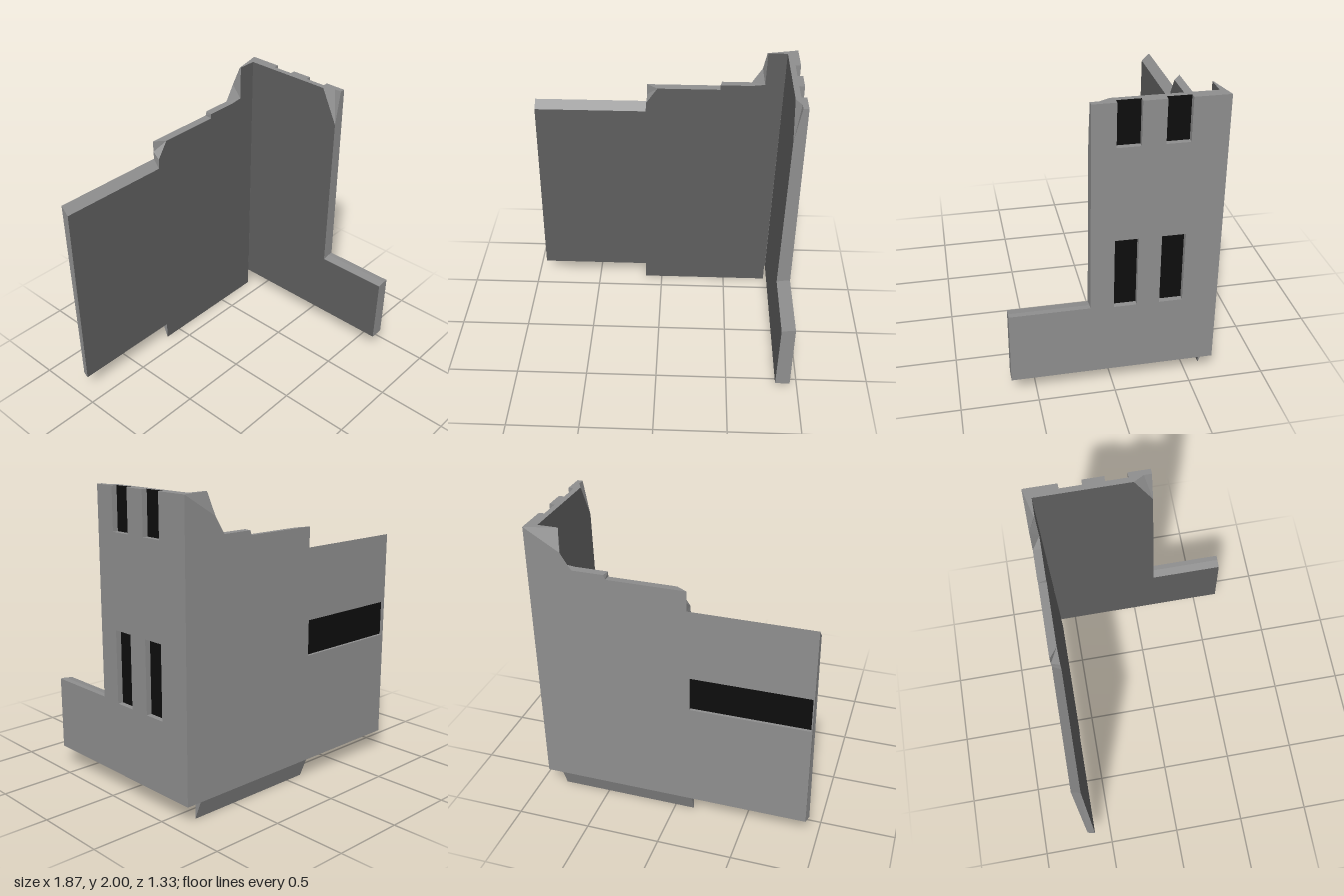
import * as THREE from 'three';

const material = (name, color) => Object.assign(new THREE.MeshStandardMaterial({ color }), { name });

// Wall points are [along, height, depth]; depth runs inward from the outer face.
const backPlace = ([x, y, d]) => [x, y, -0.668 + d];
const sidePlace = ([z, y, d]) => [0.932 - d, y, z];

const meshFrom = (name, positions, mat) => {
  const geometry = new THREE.BufferGeometry();
  geometry.setAttribute('position', new THREE.Float32BufferAttribute(positions, 3));
  geometry.computeVertexNormals();
  const mesh = new THREE.Mesh(geometry, mat);
  mesh.name = name;
  return mesh;
};

// Flat polygon with holes; faces outward unless inward is set.
function cap(name, ring, place, mat, holes = [], inward = false) {
  const flat = (r) => r.map(([a, y]) => new THREE.Vector2(-a, y));
  const all = [ring, ...holes].flat();
  const points = flat(all);
  const positions = [];
  for (const [a, b, c] of THREE.ShapeUtils.triangulateShape(flat(ring), holes.map(flat))) {
    const ccw = THREE.ShapeUtils.area([points[a], points[b], points[c]]) > 0;
    const order = ccw !== inward ? [a, b, c] : [a, c, b];
    order.forEach((i) => positions.push(...place(all[i])));
  }
  return meshFrom(name, positions, mat);
}

// Strip of quads joining an outer ring to an inner ring.
function sides(name, outer, inner, place, mat) {
  const positions = [];
  outer.forEach((p, i) => {
    const j = (i + 1) % outer.length;
    [p, inner[i], inner[j], p, inner[j], outer[j]].forEach((q) => positions.push(...place(q)));
  });
  return meshFrom(name, positions, mat);
}

const atDepth = (ring, d) => ring.map(([a, y]) => [a, y, d]);
// Rectangle from a0 (larger) to a1, counter-clockwise seen from outside.
const rect = (a0, a1, y0, y1, d = 0) => [[a0, y0, d], [a1, y0, d], [a1, y1, d], [a0, y1, d]];

// Sunken opening: reveal walls and a dark floor.
function pocket(name, ring, depth, place, wallMat, floorMat) {
  const hole = [...ring].reverse();
  return [
    sides(name + 'Reveal', hole, atDepth(hole, depth), place, wallMat),
    cap(name + 'Floor', atDepth(ring, depth), place, floorMat),
  ];
}

export function createModel() {
  const group = new THREE.Group();
  const stone = material('outer grey', 0x8e8e8e);
  const interior = material('inner dark grey', 0x5e5e5e);
  const black = material('opening black', 0x0d0d0d);

  // Back wall with a broken, stepped top
  const back = new THREE.Group();
  back.name = 'backWall';
  const backOuter = atDepth([
    [0.932, 0.13], [-0.92, 0.13], [-0.92, 1.585], [-0.11, 1.585], [-0.11, 1.64], [-0.11, 1.72],
    [0.41, 1.72], [0.42, 1.75], [0.63, 1.75], [0.7, 1.86],
  ], 0).concat([[0.72, 2, 0.05], [0.932, 2, 0]]);
  const backInner = atDepth([
    [0.83, 0.13], [-0.935, 0.13], [-0.922, 1.53], [-0.12, 1.53], [-0.115, 1.6], [-0.035, 1.715],
    [0.41, 1.715], [0.41, 1.75], [0.63, 1.75], [0.72, 1.76], [0.725, 2], [0.857, 2],
  ], 0.055);
  const slot = rect(-0.12, -0.912, 0.865, 1.105);
  back.add(
    cap('backWallOuterFace', backOuter, backPlace, stone, [slot]),
    sides('backWallEdges', backOuter, backInner, backPlace, stone),
    cap('backWallInnerFace', backInner, backPlace, interior, [], true),
    ...pocket('backSlot', slot, 0.02, backPlace, stone, black),
  );
  group.add(back);

  // Wedge tab hanging below the back wall
  const tab = new THREE.Group();
  tab.name = 'bottomTab';
  const tabOuter = rect(0.825, -0.13, 0.129, 0.131, 0.003);
  const tabInner = rect(0.825, -0.13, 0, 0.13, 0.055);
  tab.add(
    cap('tabLip', tabOuter, backPlace, stone),
    sides('tabSlope', tabOuter, tabInner, backPlace, stone),
    cap('tabInnerFace', tabInner, backPlace, interior, [], true),
  );
  group.add(tab);

  // Side wall: outer skin with windows and top notches, then a leaning inner layer
  const side = new THREE.Group();
  side.name = 'sideWall';
  const skin = 0.037;
  const bays = [[-0.29, -0.44], [0.003, -0.145]];
  const top = bays.flatMap(([a, b]) => [[b, 2], [b, 1.72], [a, 1.72], [a, 2]]);
  const ring = (end, upper) => [
    [0.665, 0.13], [end, 0.13], [end, 2], ...upper, [0.152, 2], [0.152, 0.625], [0.665, 0.625],
  ];
  const skinOuter = atDepth(ring(-0.668, top), 0);
  const skinInner = atDepth(ring(-0.643, top), skin);
  const core = atDepth(ring(-0.643, [[0.1, 2]]), skin);
  const lean = (y) => 0.1 - 0.025 * (y - 0.13) / 1.87;
  const sideInner = [
    [0.665, 0.13], [-0.613, 0.13], [-0.613, 2], [0.03, 2], [0.152, 1.76], [0.152, 0.615], [0.665, 0.615],
  ].map(([z, y]) => [z, y, lean(y)]);
  const windows = bays.map(([a, b]) => rect(a, b, 0.615, 1.1));
  side.add(
    cap('sideWallOuterFace', skinOuter, sidePlace, stone, windows),
    sides('sideWallSkinEdges', skinOuter, skinInner, sidePlace, stone),
    sides('sideWallCoreEdges', core, sideInner, sidePlace, stone),
    cap('sideWallInnerFace', sideInner, sidePlace, interior, [], true),
  );
  bays.forEach(([a, b], i) => {
    side.add(
      ...pocket('window', windows[i], skin, sidePlace, stone, black),
      cap('upperWindowFloor', rect(a, b, 1.72, 2, skin), sidePlace, black),
    );
  });
  group.add(side);
  return group;
}
